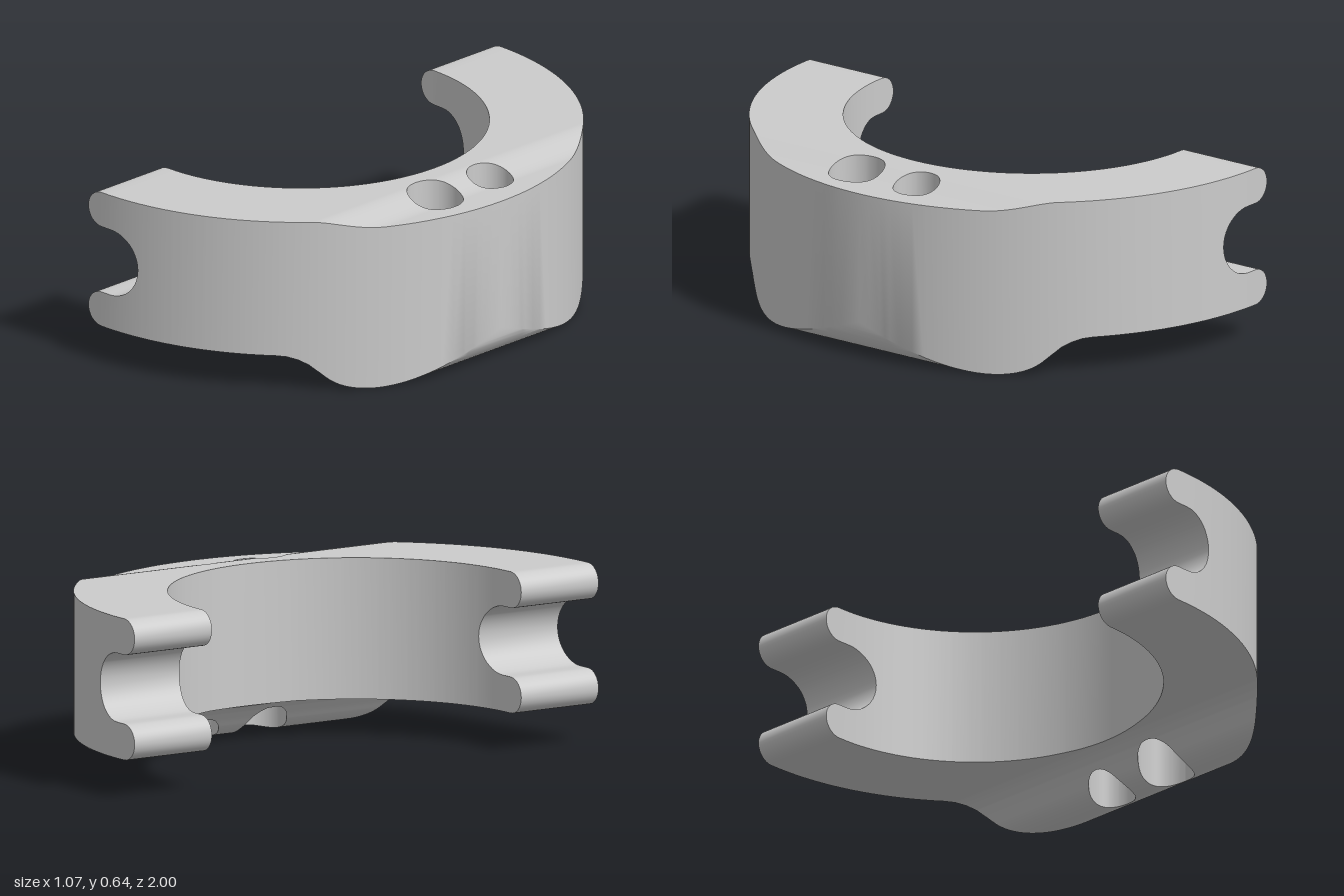
import * as THREE from 'three';
import { toCreasedNormals } from 'three/addons/utils/BufferGeometryUtils.js';

// plan: half ring around (CX, 0) with straight ends
const CX = -0.47, R_OUT = 1, R_IN = 0.667;
const X_TIP = -0.535, X_NOTCH = -0.302, X_INNER = CX + R_IN, X_MAX = CX + R_OUT;
const HOLES = [{ x: 0.355, z: -0.12, r: 0.083 }, { x: 0.35, z: 0.15, r: 0.1 }];

// side profile: rounded prongs, notch between them and a rounded foot
const TOP = 0.645, BASE = 0.137, PRONG = 0.065;
const NOTCH = { x: -0.426, y: 0.391, r: 0.124 }, FOOT = { x: 0.4, y: 0.133, r: 0.13 };
const FILLET = [[0.17, 0.137], [0.2, 0.134], [0.23, 0.122], [0.255, 0.104], [0.28, 0.075], [0.3, 0.05]];

const chord = (r, d) => Math.sqrt(Math.max(0, r * r - d * d));
const ringZ = (r, x) => chord(r, Math.max(0, x - CX));

function topY(x) {
  return TOP - 0.035 * THREE.MathUtils.smoothstep(x, 0.26, 0.42);
}

function bottomY(x) {
  if (x <= FILLET[0][0]) return BASE;
  if (x >= 0.3) return FOOT.y - chord(FOOT.r, x - FOOT.x);
  const i = FILLET.findIndex(p => p[0] >= x);
  const [a, b] = [FILLET[i - 1], FILLET[i]];
  return THREE.MathUtils.mapLinear(x, a[0], b[0], a[1], b[1]);
}

// solid height ranges at x: two prongs, or one body
function layers(x, split) {
  if (!split) return [[bottomY(x), topY(x)]];
  if (x < CX) {
    const h = chord(PRONG, x - CX);
    return [BASE + PRONG, TOP - PRONG].map(y => [y - h, y + h]);
  }
  const h = chord(NOTCH.r, Math.max(0, x - NOTCH.x));
  return [[BASE, NOTCH.y - h], [NOTCH.y + h, TOP]];
}

// solid depth ranges at x: two arms, or the front bridge interrupted by holes
function bands(x, arms) {
  const zo = ringZ(R_OUT, x);
  if (arms) {
    const zi = ringZ(R_IN, x);
    return [[-zo, -zi], [zi, zo]];
  }
  const cuts = HOLES.map(h => [h.z - chord(h.r, x - h.x), h.z + chord(h.r, x - h.x)]);
  // near the outermost tip the cuts stay within the ring
  const c = cuts.flat().map(z => THREE.MathUtils.clamp(z, -zo, zo));
  return [[-zo, c[0]], [c[1], c[2]], [c[3], zo]];
}

// x positions of all slices, following every arc evenly
function slices() {
  const xs = [X_TIP, X_NOTCH, X_INNER, X_MAX, CX, 0.26, 0.42];
  HOLES.forEach(h => xs.push(h.x - h.r, h.x + h.r));
  FILLET.forEach(p => xs.push(p[0]));
  const arc = (cx, r, from, to, n) => {
    for (let i = 0; i <= n; i++) xs.push(cx + r * Math.cos(from + (to - from) * i / n));
  };
  arc(CX, R_OUT, 0, Math.PI / 2, 36);
  arc(CX, R_IN, 0, Math.PI / 2, 30);
  arc(CX, PRONG, Math.PI / 2, Math.PI, 8);
  arc(NOTCH.x, NOTCH.r, 0, Math.PI / 2, 10);
  arc(FOOT.x, FOOT.r, 0, Math.PI * 0.78, 16);
  HOLES.forEach(h => arc(h.x, h.r, 0, Math.PI, 14));
  for (let x = 0.28; x < 0.42; x += 0.02) xs.push(x);
  const kept = [];
  for (const x of xs) {
    if (x >= X_TIP && x <= X_MAX && kept.every(k => Math.abs(k - x) > 0.0008)) kept.push(x);
  }
  return kept.sort((a, b) => a - b);
}

function bodyGeometry() {
  const pos = [], A = new THREE.Vector3(), B = new THREE.Vector3();
  const tri = (a, b, c) => {
    A.fromArray(b).sub(new THREE.Vector3(...a));
    B.fromArray(c).sub(new THREE.Vector3(...a));
    if (A.cross(B).length() > 1e-9) pos.push(...a, ...b, ...c);
  };
  const quad = (a, b, c, d) => { tri(a, b, c); tri(a, c, d); };
  const same = (a, b) => Math.abs(a - b) < 1e-6;

  const xs = slices();
  for (let i = 0; i + 1 < xs.length; i++) {
    const x0 = xs[i], x1 = xs[i + 1], mid = (x0 + x1) / 2;
    const l0 = layers(x0, mid < X_NOTCH), l1 = layers(x1, mid < X_NOTCH);
    const b0 = bands(x0, mid < X_INNER), b1 = bands(x1, mid < X_INNER);
    l0.forEach(([lo0, hi0], j) => {
      const [lo1, hi1] = l1[j];
      b0.forEach(([n0, f0], k) => {
        const [n1, f1] = b1[k];
        // upper and lower faces
        quad([x0, hi0, n0], [x0, hi0, f0], [x1, hi1, f1], [x1, hi1, n1]);
        quad([x0, lo0, n0], [x1, lo1, n1], [x1, lo1, f1], [x0, lo0, f0]);
        // upright walls, left out where neighbouring bands touch
        const next = k + 1 < b0.length && same(f0, b0[k + 1][0]) && same(f1, b1[k + 1][0]);
        const prev = k > 0 && same(n0, b0[k - 1][1]) && same(n1, b1[k - 1][1]);
        if (!next) quad([x0, lo0, f0], [x1, lo1, f1], [x1, hi1, f1], [x0, hi0, f0]);
        if (!prev) quad([x0, lo0, n0], [x0, hi0, n0], [x1, hi1, n1], [x1, lo1, n1]);
      });
    });
  }

  const geo = new THREE.BufferGeometry();
  geo.setAttribute('position', new THREE.Float32BufferAttribute(pos, 3));
  // creasing works on a coarse grid, so do it at a larger scale
  geo.scale(100, 100, 100);
  const creased = toCreasedNormals(geo, 0.6);
  creased.scale(0.01, 0.01, 0.01);
  return creased;
}

export function createModel() {
  const group = new THREE.Group();
  group.name = 'halfRingClamp';
  const body = new THREE.Mesh(bodyGeometry(), new THREE.MeshStandardMaterial({ color: 0xcccccc }));
  body.name = 'notchedHalfRing';
  group.add(body);
  return group;
}
